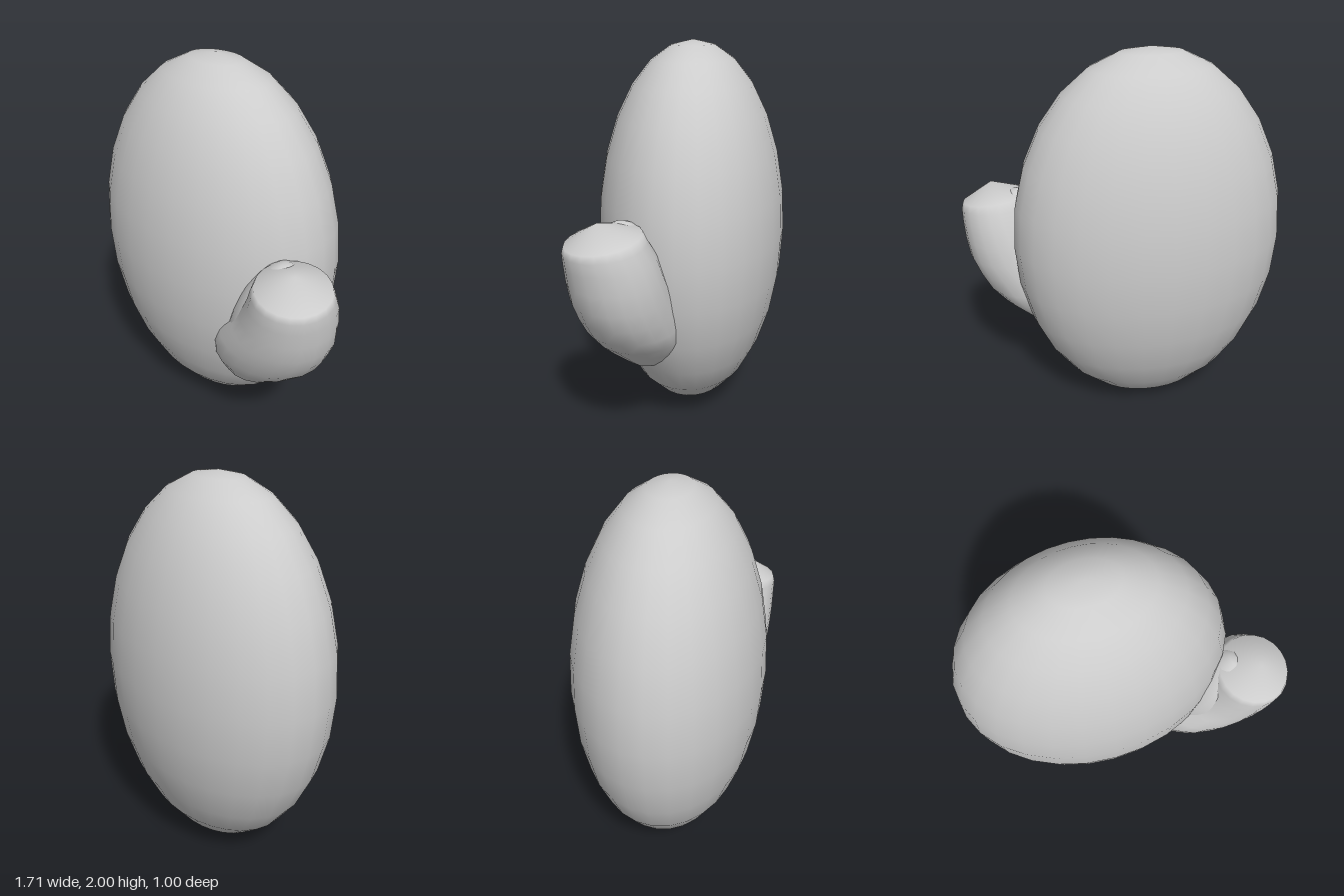
import * as THREE from 'three';

const SIDES = 20;

// Closed skin over horizontal rounded sections: [y, centreX, centreZ, radiusX, radiusZ, tilt]
function loft(sections, bottom, top) {
  const pos = [], index = [];
  for (const [y, cx, cz, rx, rz, tilt] of sections) {
    for (let i = 0; i < SIDES; i++) {
      const a = (i / SIDES) * Math.PI * 2;
      const c = Math.cos(a), s = Math.sin(a);
      pos.push(cx + rx * c, y - tilt * (c + s), cz + rz * s);
    }
  }
  const n = sections.length;
  pos.push(...bottom, ...top);
  const b = n * SIDES, t = b + 1;
  for (let i = 0; i < SIDES; i++) {
    const j = (i + 1) % SIDES;
    for (let k = 0; k < n - 1; k++) {
      const p = k * SIDES, q = p + SIDES;
      index.push(p + i, q + i, p + j, p + j, q + i, q + j);
    }
    index.push(b, i, j);
    index.push(t, (n - 1) * SIDES + j, (n - 1) * SIDES + i);
  }
  const g = new THREE.BufferGeometry();
  g.setAttribute('position', new THREE.Float32BufferAttribute(pos, 3));
  g.setIndex(index);
  g.computeVertexNormals();
  return g;
}

export function createModel() {
  const group = new THREE.Group();
  const grey = new THREE.MeshStandardMaterial({ color: 0xcccccc });
  grey.name = 'plain grey';

  // Flattened egg-shaped body
  const bodyGeometry = new THREE.SphereGeometry(1, 28, 14);
  bodyGeometry.scale(0.73, 1, 0.5);
  const body = new THREE.Mesh(bodyGeometry, grey);
  body.name = 'body';
  body.position.set(-0.125, 1, 0);
  group.add(body);

  // Stubby limb that leaves the body low down and bends upward
  const limb = new THREE.Mesh(loft([
    [0.41, 0.37, 0.18, 0.07, 0.08, 0],
    [0.46, 0.37, 0.18, 0.13, 0.15, 0],
    [0.52, 0.38, 0.19, 0.19, 0.20, 0],
    [0.60, 0.40, 0.20, 0.27, 0.235, 0],
    [0.68, 0.445, 0.22, 0.30, 0.245, 0],
    [0.77, 0.50, 0.24, 0.295, 0.245, 0],
    [0.86, 0.57, 0.255, 0.26, 0.24, 0],
    [0.96, 0.61, 0.27, 0.235, 0.23, 0],
    [1.06, 0.64, 0.285, 0.21, 0.215, 0.01],
    [1.13, 0.655, 0.305, 0.195, 0.195, 0.015],
    [1.17, 0.66, 0.31, 0.18, 0.18, 0.02],
  ], [0.37, 0.395, 0.18], [0.68, 1.25, 0.33]), grey);
  limb.name = 'limb';
  group.add(limb);

  // Soft web joining the limb's inner edge to the body
  const webGeometry = new THREE.SphereGeometry(1, 20, 14);
  webGeometry.scale(0.14, 0.36, 0.17);
  const web = new THREE.Mesh(webGeometry, grey);
  web.name = 'limbWeb';
  web.position.set(0.44, 0.89, 0.25);
  web.rotation.z = -0.4;
  group.add(web);

  return group;
}
